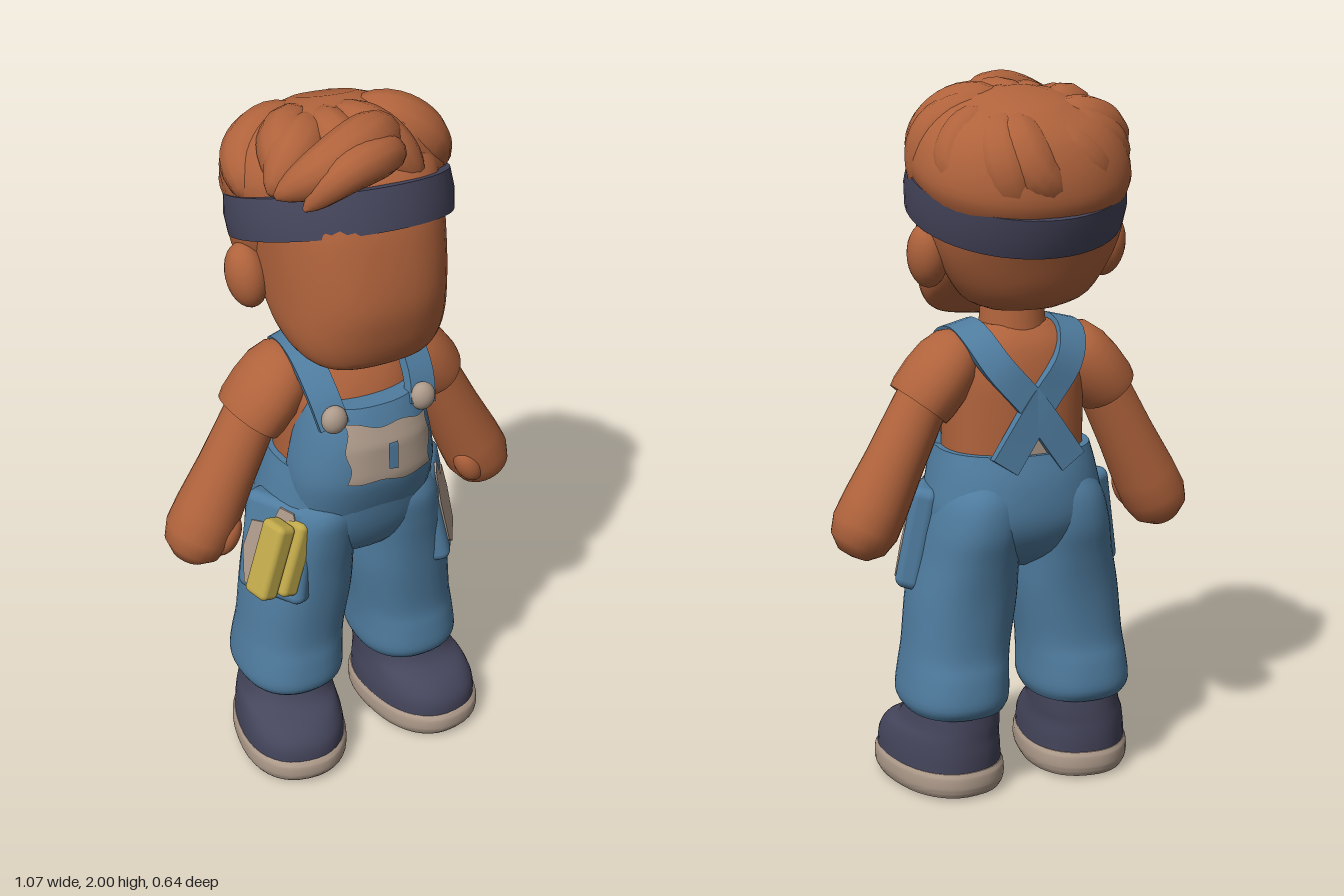
import * as THREE from 'three';
import { toCreasedNormals } from 'three/addons/utils/BufferGeometryUtils.js';
import { RoundedBoxGeometry } from 'three/addons/geometries/RoundedBoxGeometry.js';

const V = (x, y, z) => new THREE.Vector3(x, y, z);
const paint = (name, color) => Object.assign(new THREE.MeshStandardMaterial({ color }), { name });

// Joins equal rings of points into a closed skin with end caps
function skin(rings, crease = 0.9) {
  const n = rings[0].length, pos = [], idx = [];
  rings.forEach(r => r.forEach(p => pos.push(p.x, p.y, p.z)));
  for (let i = 0; i < rings.length - 1; i++) for (let j = 0; j < n; j++) {
    const k = (j + 1) % n, a = i * n + j, b = i * n + k;
    idx.push(a, b, b + n, a, b + n, a + n);
  }
  [0, rings.length - 1].forEach((e, top) => {
    const c = rings[e].reduce((s, p) => s.add(p), V(0, 0, 0)).divideScalar(n), m = pos.length / 3;
    pos.push(c.x, c.y, c.z);
    for (let j = 0; j < n; j++) {
      const a = e * n + j, b = e * n + (j + 1) % n;
      idx.push(m, ...(top ? [a, b] : [b, a]));
    }
  });
  const g = new THREE.BufferGeometry();
  g.setAttribute('position', new THREE.Float32BufferAttribute(pos, 3));
  g.setIndex(idx);
  return toCreasedNormals(g, crease);
}

// Stacked rounded sections: [y, centre x, centre z, half width, front z, back z]
function loft(sections, power = 2.2, sides = 40, steps = 4) {
  const rings = [], last = sections.length - 1, at = i => sections[Math.min(last, Math.max(0, i))];
  const bend = v => Math.sign(v) * Math.abs(v) ** (2 / power);
  for (let q = 0; q <= last * steps; q++) {
    const i = Math.floor(q / steps), t = q / steps - i;
    const [y, cx, cz, rx, zf, zb] = at(i).map((p, k) => {
      const p0 = at(i - 1)[k], p2 = at(i + 1)[k], p3 = at(i + 2)[k];
      return p + 0.5 * t * (p2 - p0 + t * (2 * p0 - 5 * p + 4 * p2 - p3 + t * (3 * (p - p2) + p3 - p0)));
    });
    rings.push(Array.from({ length: sides }, (_, j) => {
      const a = j / sides * Math.PI * 2, c = bend(Math.cos(a));
      return V(cx + rx * bend(Math.sin(a)), y, cz + c * (c > 0 ? zf - cz : cz - zb));
    }));
  }
  return skin(rings);
}

// Hair lock: a tube with rounded tapering ends
function lock(points, radius) {
  const curve = new THREE.CatmullRomCurve3(points), n = 18, f = curve.computeFrenetFrames(n);
  return skin(Array.from({ length: n + 1 }, (_, i) => {
    const r = radius * Math.max(0.02, Math.sin(Math.PI * i / n)) ** 0.55, c = curve.getPointAt(i / n);
    return Array.from({ length: 12 }, (_, j) => {
      const a = j / 12 * Math.PI * 2;
      return c.clone().addScaledVector(f.normals[i], r * Math.cos(a)).addScaledVector(f.binormals[i], r * Math.sin(a));
    });
  }));
}

// Flat strap that faces away from the chest
function strap(points, half, thick) {
  const curve = new THREE.CatmullRomCurve3(points), n = 28;
  return skin(Array.from({ length: n + 1 }, (_, i) => {
    const p = curve.getPointAt(i / n), t = curve.getTangentAt(i / n);
    const out = V(p.x * 0.2, Math.max(0, p.y - 1.2), (p.z - 0.03) * 1.3);
    out.addScaledVector(t, -out.dot(t)).normalize();
    const side = t.clone().cross(out);
    return [[1, 1], [-1, 1], [-1, -1], [1, -1]].map(([o, s]) =>
      p.clone().addScaledVector(out, o * thick).addScaledVector(side, s * half));
  }), 0.6);
}

// Thin irregular cloth patch
function patch(points) {
  return new THREE.ExtrudeGeometry(new THREE.Shape(points.map(p => new THREE.Vector2(...p))),
    { depth: 0.008, bevelEnabled: false });
}

export function createModel() {
  const model = new THREE.Group();
  model.name = 'character';
  const skinMat = paint('warm brown skin, hair and shirt', 0xb0633c);
  const denim = paint('denim blue', 0x4f7c9f);
  const navy = paint('dark navy', 0x45455c);
  const beige = paint('beige', 0xad9a8a);
  const yellow = paint('yellow', 0xbfa84a);
  const add = (name, geo, mat, parent = model, x = 0, y = 0, z = 0) => {
    const m = new THREE.Mesh(geo, mat);
    m.name = name;
    m.position.set(x, y, z);
    parent.add(m);
    return m;
  };
  const group = (name, x, y, z, rx = 0, ry = 0, rz = 0) => {
    const g = new THREE.Group();
    g.name = name;
    g.position.set(x, y, z);
    g.rotation.set(rx, ry, rz);
    model.add(g);
    return g;
  };

  // Head, neck and back of the hair
  add('head', loft([[1.33, 0, 0.2, 0.11, 0.24, 0.15], [1.345, 0, 0.17, 0.165, 0.27, 0.1], [1.38, 0, 0.13, 0.205, 0.29, 0.04],
    [1.44, 0, 0.09, 0.229, 0.308, -0.06], [1.53, 0, 0.05, 0.238, 0.32, -0.18], [1.65, 0, 0.03, 0.243, 0.302, -0.23],
    [1.76, 0, 0, 0.245, 0.268, -0.24], [1.85, 0, -0.02, 0.22, 0.2, -0.22], [1.91, 0, -0.03, 0.08, 0.06, -0.1]], 2.4), skinMat);
  add('neck', new THREE.CylinderGeometry(0.08, 0.1, 0.2, 24), skinMat, model, 0, 1.36, 0.02);
  add('backHair', loft([[1.38, 0, -0.05, 0.1, 0.02, -0.12], [1.42, 0, -0.06, 0.18, 0.02, -0.185],
    [1.53, 0, -0.07, 0.25, 0.03, -0.232], [1.64, 0, -0.06, 0.28, 0.07, -0.27], [1.72, 0, -0.06, 0.272, 0.09, -0.27]]), skinMat);

  // Tilted headband with the hair dome and combed locks
  const crown = group('hairAndHeadband', 0.005, 1.69, -0.015, -0.33, 0, -0.04);
  const band = [[0.265, -0.058], [0.297, -0.055], [0.303, 0], [0.297, 0.055], [0.265, 0.058]].map(p => new THREE.Vector2(...p));
  add('headband', toCreasedNormals(new THREE.LatheGeometry(band, 48), 0.7), navy, crown);
  add('hairDome', loft([[0.03, 0, -0.01, 0.285, 0.23, -0.28], [0.09, 0, -0.01, 0.298, 0.23, -0.285],
    [0.17, 0, -0.01, 0.268, 0.22, -0.25], [0.235, 0, -0.02, 0.2, 0.16, -0.19], [0.275, 0, -0.02, 0.08, 0.07, -0.1]]), skinMat, crown);
  for (let i = 0; i < 11; i++) {
    const a = i / 11 * Math.PI * 2 + 0.16 * Math.sin(i * 2.1), end = 0.075 + 0.03 * Math.sin(i * 2.7);
    const at = (r, y, turn) => V(r * Math.sin(a + turn), y, r * Math.cos(a + turn) * 0.86);
    add('hairLock', lock([at(0.03, 0.2, -0.3), at(0.15, 0.2, 0), at(0.23, 0.145, 0.22), at(0.26, end, 0.42), at(0.26, end - 0.05, 0.5)],
      0.074 + 0.01 * Math.sin(i * 1.7)), skinMat, crown);
  }
  // Swept forelock
  [[0.075, [0.12, 1.87, 0.02], [0.01, 1.925, 0.15], [-0.13, 1.9, 0.2], [-0.26, 1.83, 0.16]],
    [0.055, [0.1, 1.86, 0.12], [0.01, 1.91, 0.215], [-0.11, 1.9, 0.25], [-0.21, 1.81, 0.22]],
    [0.075, [-0.02, 1.88, -0.08], [-0.15, 1.89, 0.06], [-0.255, 1.82, 0.12]],
    [0.065, [0.02, 1.89, 0.08], [0.14, 1.87, 0.07], [0.27, 1.78, 0.03]]
  ].forEach(([r, ...pts]) => add('forelock', lock(pts.map(p => V(...p)), r), skinMat));

  // Shirt
  add('shirt', loft([[0.86, 0, 0.02, 0.2, 0.2, -0.14], [1.1, 0, 0.02, 0.2, 0.2, -0.138], [1.2, 0, 0.02, 0.2, 0.18, -0.13],
    [1.28, 0, 0.01, 0.175, 0.13, -0.105], [1.33, 0, 0.01, 0.1, 0.07, -0.06]]), skinMat);

  // Overalls: seat and bib
  add('overallSeat', loft([[0.64, 0, 0.02, 0.06, 0.07, -0.05], [0.7, 0, 0.02, 0.18, 0.18, -0.14],
    [0.79, 0, 0.02, 0.255, 0.232, -0.188], [0.9, 0, 0.02, 0.24, 0.255, -0.186], [0.985, 0, 0.02, 0.218, 0.262, -0.162]]), denim);
  const bib = [[0.84, 0, 0.1, 0.2, 0.235, 0.02], [0.93, 0, 0.1, 0.21, 0.268, 0.02], [1, 0, 0.1, 0.207, 0.283, 0.03],
    [1.1, 0, 0.1, 0.188, 0.277, 0.05], [1.17, 0, 0.1, 0.17, 0.252, 0.06], [1.2, 0, 0.1, 0.155, 0.238, 0.07]];
  add('bib', loft(bib, 2.4), denim);

  // Thin plates that follow the bib
  const bibPlate = (name, w, h, cx, cy, lift, mat) => {
    const g = new THREE.PlaneGeometry(w, h, 18, 12), p = g.attributes.position;
    for (let i = 0; i < p.count; i++) {
      const u = p.getX(i), v = p.getY(i);
      const x = cx + u * (1 + 0.05 * Math.sin(v * 60 + 1)), y = cy + v * (1 + 0.07 * Math.sin(u * 45)) - u * 0.08;
      const k = Math.max(0, bib.findIndex(s => s[0] > y) - 1), t = (y - bib[k][0]) / (bib[k + 1][0] - bib[k][0]);
      const mix = c => bib[k][c] + t * (bib[k + 1][c] - bib[k][c]);
      p.setXYZ(i, x, y, 0.1 + (mix(4) - 0.1) * (1 - Math.abs(x / mix(3)) ** 2.4) ** (1 / 2.4) + lift);
    }
    g.computeVertexNormals();
    add(name, g, mat);
  };
  bibPlate('bibPatch', 0.255, 0.165, 0.018, 1.07, 0.007, beige);
  bibPlate('bibPatchGap', 0.028, 0.08, 0.014, 1.065, 0.011, denim);
  const backPatch = add('backPatch', patch([[-0.045, 0], [0.045, 0], [0, 0.08]]), beige, model, 0, 0.98, -0.14);
  backPatch.rotation.y = Math.PI;

  // Profiles shared by both arms
  const lathe = pts => new THREE.LatheGeometry(pts.map(p => new THREE.Vector2(...p)), 28);
  const armGeo = lathe([[0, -0.45], [0.045, -0.442], [0.08, -0.41], [0.094, -0.36], [0.092, -0.29], [0.082, -0.16], [0.075, 0], [0.07, 0.06]]);
  const sleeveGeo = toCreasedNormals(lathe([[0.06, 0.005], [0.088, -0.005], [0.093, 0.02], [0.094, 0.08], [0.088, 0.14], [0.07, 0.19], [0.04, 0.22], [0, 0.23]]), 0.9);
  const ball = new THREE.SphereGeometry(1, 24, 16);

  for (const s of [1, -1]) {
    const side = s > 0 ? 'left' : 'right';
    const ear = add(side + 'Ear', ball, skinMat, model, s * 0.262, 1.53, -0.02);
    ear.scale.set(0.055, 0.09, 0.064);
    ear.rotation.set(-0.2, 0, -s * 0.1);

    // Arm with sleeve and thumb
    const arm = group(side + 'Arm', s * 0.28, 1.11, 0.01, 0, 0, s * 0.465);
    add('armAndHand', armGeo, skinMat, arm).scale.z = 1.06;
    const sleeve = add('sleeve', sleeveGeo, skinMat, arm, s * 0.005, 0.01, 0);
    sleeve.scale.z = 1.27;
    sleeve.rotation.z = s * 0.2;
    add('thumb', ball, skinMat, arm, -s * 0.05, -0.33, 0.055).scale.set(0.038, 0.065, 0.042);

    // Strap crossing on the back, with its button
    add(side + 'Strap', strap([[0.13, 1.16, 0.222], [0.142, 1.23, 0.185], [0.148, 1.3, 0.1], [0.145, 1.318, 0.02], [0.138, 1.298, -0.06],
      [0.105, 1.235, -0.118], [0.01, 1.12, -0.146], [-0.1, 0.96, -0.158]].map(([x, y, z]) => V(s * x, y, z)), 0.041, 0.015), denim);
    add(side + 'Button', ball, beige, model, s * 0.132, 1.185, 0.228).scale.set(0.036, 0.04, 0.03);

    // Trouser leg with a baggy cuff
    add(side + 'Leg', loft([[0.24, s * 0.187, 0.02, 0.138, 0.18, -0.145], [0.275, s * 0.188, 0.02, 0.153, 0.203, -0.163],
      [0.35, s * 0.183, 0.02, 0.15, 0.198, -0.155], [0.42, s * 0.175, 0.02, 0.148, 0.19, -0.14],
      [0.56, s * 0.157, 0.02, 0.15, 0.203, -0.145], [0.68, s * 0.143, 0.02, 0.138, 0.215, -0.165],
      [0.77, s * 0.133, 0.02, 0.132, 0.228, -0.184], [0.86, s * 0.12, 0.02, 0.118, 0.235, -0.178],
      [0.93, s * 0.1, 0.02, 0.08, 0.2, -0.14]], 2.3), denim);

    // Side pocket
    const pocket = group(side + 'Pocket', s * 0.24, 0.73, 0.1, 0, -s * 0.55, s * 0.2);
    add('pocketBag', new RoundedBoxGeometry(0.08, 0.3, 0.215, 3, 0.028), denim, pocket);
    const worn = add('pocketPatch', patch([[-0.08, -0.09], [-0.03, -0.13], [0.075, -0.125], [0.09, -0.02], [0.07, 0.07],
      [0.005, 0.08], [-0.015, 0.135], [-0.06, 0.13], [-0.09, 0.05]].map(([x, y]) => [x * s, y])), beige, pocket, s * 0.036);
    worn.rotation.y = s * Math.PI / 2;

    // Shoe: upper, sole and tread
    const shoe = group(side + 'Shoe', s * 0.195, 0, 0, 0, s * 0.17);
    add('upper', loft([[0.06, 0, 0.08, 0.152, 0.288, -0.135], [0.12, 0, 0.08, 0.149, 0.283, -0.138], [0.165, 0, 0.06, 0.14, 0.245, -0.136],
      [0.2, -s * 0.005, 0.03, 0.13, 0.175, -0.135], [0.27, -s * 0.01, 0.01, 0.122, 0.14, -0.13]], 2.3), navy, shoe);
    add('sole', loft([[0.008, 0, 0.08, 0.148, 0.285, -0.138], [0.03, 0, 0.08, 0.158, 0.3, -0.148],
      [0.065, 0, 0.08, 0.158, 0.3, -0.147], [0.08, 0, 0.08, 0.152, 0.29, -0.14]], 2.3), beige, shoe);
    add('tread', loft([[0, 0, 0.08, 0.125, 0.262, -0.115], [0.009, 0, 0.08, 0.128, 0.265, -0.118]], 2.3, 40, 1), navy, shoe);
  }

  // Yellow gloves tucked into the right pocket
  const gloves = group('yellowGloves', -0.27, 0.742, 0.16, 0, 0.25, -0.35);
  [-0.03, 0.03].forEach((x, i) =>
    add('glove', new RoundedBoxGeometry(0.062, 0.225, 0.085, 3, 0.018), yellow, gloves, x, i * 0.012 - 0.006, i * 0.015));
  return model;
}
